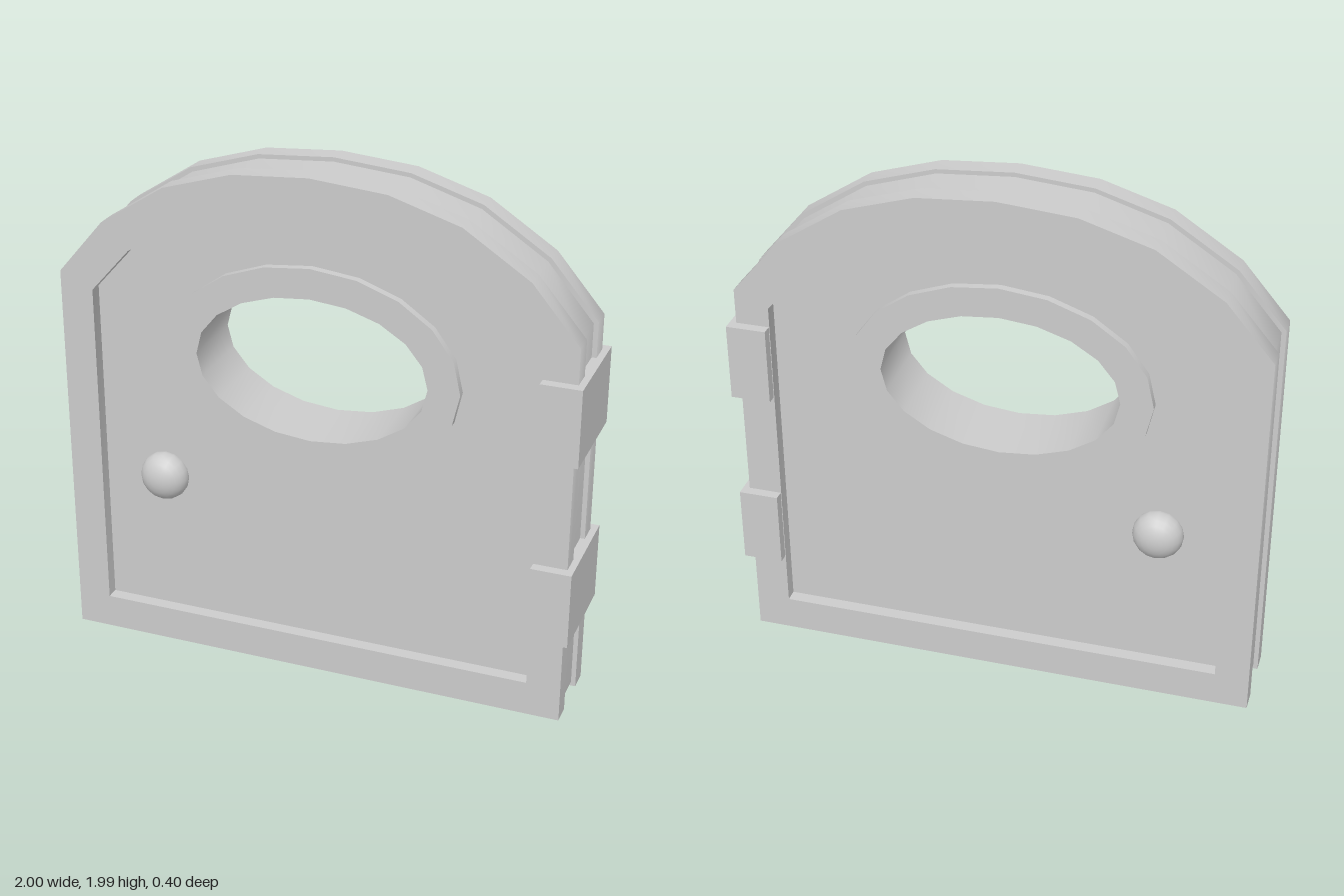
import * as THREE from 'three';
import { toCreasedNormals } from 'three/addons/utils/BufferGeometryUtils.js';

const CX = -0.0125; // the door leaf sits slightly right of centre to leave room for the hinges
const WINDOW = { x: -0.018, y: 1.248 };
const material = new THREE.MeshStandardMaterial({ color: 0xcccccc });

// Arched outline from the right half of its arch, [half width, height], springing to crown
function archPoints(bottom, arch) {
  const right = [[arch[0][0], bottom], ...arch];
  const left = right.slice(0, -1).reverse().map(([x, y]) => [-x, y]);
  return [...right, ...left].map(([x, y]) => new THREE.Vector2(CX + x, y));
}

function ellipsePoints(rx, ry, sides = 20) {
  return Array.from({ length: sides }, (_, i) => {
    const a = (i / sides) * Math.PI * 2;
    return new THREE.Vector2(WINDOW.x + rx * Math.cos(a), WINDOW.y + ry * Math.sin(a));
  });
}

// Plate with one opening between two depths
function plate(name, outline, opening, z0, z1) {
  const shape = new THREE.Shape(outline);
  shape.holes.push(new THREE.Path(opening));
  const geometry = new THREE.ExtrudeGeometry(shape, { depth: z1 - z0, bevelEnabled: false });
  geometry.translate(0, 0, z0);
  return part(name, toCreasedNormals(geometry, 0.87));
}

function part(name, geometry) {
  const mesh = new THREE.Mesh(geometry, material);
  mesh.name = name;
  return mesh;
}

export function createModel() {
  const group = new THREE.Group();
  group.name = 'archedDoor';

  const outer = archPoints(0, [[0.9875, 1.505], [0.808, 1.717], [0.558, 1.88], [0.29, 1.962], [0, 1.985]]);
  const core = archPoints(0.017, [[0.97, 1.498], [0.797, 1.703], [0.551, 1.864], [0.287, 1.946], [0, 1.969]]);
  const inner = archPoints(0.135, [[0.858, 1.447], [0.705, 1.62], [0.491, 1.75], [0.256, 1.828], [0, 1.85]]);
  const ringOuter = ellipsePoints(0.568, 0.396);
  const ringInner = ellipsePoints(0.447, 0.28);

  // Core edge between the two frames, and the recessed panel
  group.add(plate('coreEdge', core, inner, -0.081, 0.081));
  group.add(plate('panel', inner, ringOuter, -0.112, 0.112));

  // Window surround running through the door
  group.add(plate('windowRing', ringOuter, ringInner, -0.142, 0.142));

  // Raised frame and knob on both faces
  for (const [side, s] of [['front', 1], ['back', -1]]) {
    group.add(plate(side + 'Frame', outer, inner, s > 0 ? 0.081 : -0.162, s > 0 ? 0.162 : -0.081));
    const knob = part(side + 'Knob', new THREE.SphereGeometry(0.096, 16, 12).rotateX(Math.PI / 2));
    knob.scale.z = 0.77;
    knob.position.set(-0.62, 0.708, s * 0.126);
    group.add(knob);
  }

  // Hinge blocks wrapped round the edge
  for (const [name, y] of [['upperHinge', 1.22], ['lowerHinge', 0.494]]) {
    const hinge = part(name, new THREE.BoxGeometry(0.152, 0.298, 0.402));
    hinge.position.set(0.924, y, 0);
    group.add(hinge);
  }
  return group;
}
